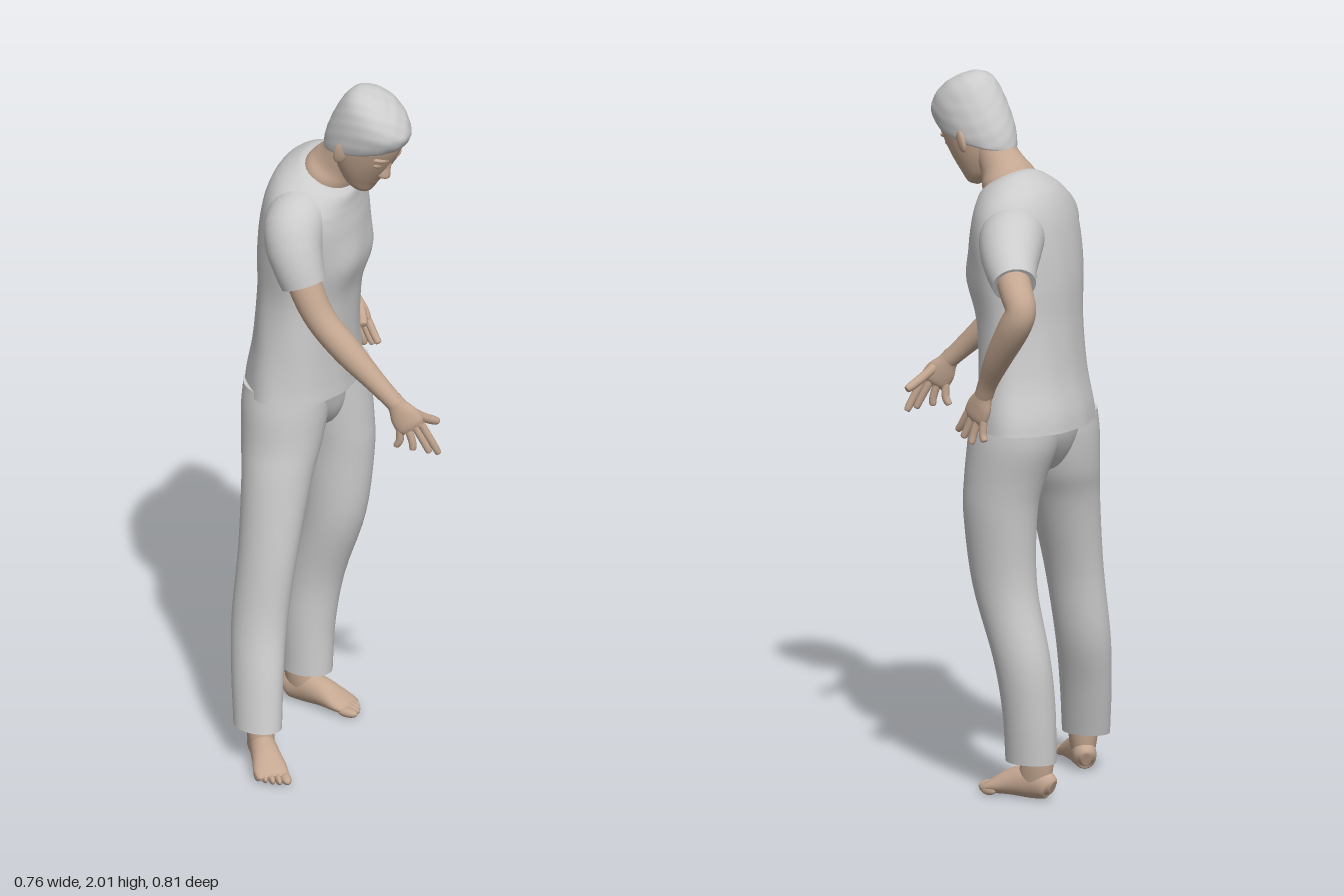
import * as THREE from 'three';

const V = (x, y, z) => new THREE.Vector3(x, y, z);
const cloth = new THREE.MeshStandardMaterial({ color: 0xcccccc });
const skin = new THREE.MeshStandardMaterial({ color: 0xc4a791 });
const lipMat = new THREE.MeshStandardMaterial({ color: 0xb59080 });

// Smooth closed skin through rings [x, y, z, halfWidth, halfDepth, tilt].
// ref is the width axis; flat keeps every ring level; warp moves each vertex.
function loft(name, mat, rings, { ref = V(1, 0, 0), flat = false, seg = 28, sub = 5, warp } = {}) {
  const path = new THREE.CatmullRomCurve3(rings.map(r => V(r[0], r[1], r[2])), false, 'catmullrom', 0.5);
  const size = new THREE.CatmullRomCurve3(
    rings.map(r => V(r[3], r[4] ?? r[3], r[5] ?? 0)), false, 'catmullrom', 0.5);
  const n = (rings.length - 1) * sub, pos = [], idx = [];
  const down = Math.sign(rings[rings.length - 1][1] - rings[0][1]);
  for (let i = 0; i <= n; i++) {
    const c = path.getPoint(i / n), s = size.getPoint(i / n);
    const t = flat ? V(0, down, 0) : path.getTangent(i / n);
    const side = ref.clone().addScaledVector(t, -ref.dot(t)).normalize();
    const up = t.clone().cross(side);
    for (let j = 0; j < seg; j++) {
      const a = j / seg * Math.PI * 2;
      const p = c.clone().addScaledVector(side, s.x * Math.cos(a)).addScaledVector(up, s.y * Math.sin(a));
      p.y -= s.z * (p.z - c.z);
      if (warp) warp(p, i / n);
      pos.push(p.x, p.y, p.z);
    }
  }
  for (let i = 0; i < n; i++) for (let j = 0; j < seg; j++) {
    const k = (j + 1) % seg, a = i * seg + j, b = i * seg + k, c = a + seg, d = b + seg;
    idx.push(a, b, d, a, d, c);
  }
  // End caps use their own ring so the rims stay crisp
  for (const end of [0, n]) {
    const base = pos.length / 3, c = V(0, 0, 0);
    for (let j = 0; j < seg; j++) {
      const q = (end * seg + j) * 3, p = V(pos[q], pos[q + 1], pos[q + 2]);
      pos.push(p.x, p.y, p.z);
      c.addScaledVector(p, 1 / seg);
    }
    pos.push(c.x, c.y, c.z);
    for (let j = 0; j < seg; j++) {
      const a = base + j, b = base + (j + 1) % seg;
      idx.push(base + seg, ...(end ? [a, b] : [b, a]));
    }
  }
  const g = new THREE.BufferGeometry();
  g.setAttribute('position', new THREE.Float32BufferAttribute(pos, 3));
  g.setIndex(idx);
  g.computeVertexNormals();
  const m = new THREE.Mesh(g, mat);
  m.name = name;
  return m;
}

function blob(name, mat, p, s) {
  const m = new THREE.Mesh(new THREE.SphereGeometry(1, 20, 14), mat);
  m.name = name;
  m.position.set(...p);
  m.scale.set(...s);
  return m;
}

// Palm, four fingers (index first) and a thumb; side runs from index to little finger
function hand(name, wrist, knuckle, side, tips, thumbTip) {
  const g = new THREE.Group();
  g.name = name;
  const dir = knuckle.clone().sub(wrist);
  const at = f => wrist.clone().addScaledVector(dir, f);
  g.add(loft('palm', skin, [[-0.25, .025, .022], [.1, .028, .021], [.5, .04, .02], [.9, .042, .017], [1.1, .034, .01]]
    .map(([f, a, b]) => [...at(f).toArray(), a, b]), { ref: side, seg: 16 }));
  const finger = (label, base, tip, r, bulge) => {
    const mid = base.clone().lerp(tip, .5).addScaledVector(dir, bulge);
    const end = tip.clone().lerp(mid, .12);
    g.add(loft(label, skin, [[base, r], [mid, r * .95], [end, r * .8], [tip, r * .15]]
      .map(([p, q]) => [...p.toArray(), q]), { ref: side, seg: 10, sub: 4 }));
  };
  tips.forEach((t, i) => finger('finger', at(.92).addScaledVector(side, (i - 1.5) * .02), t, .0115, .14));
  finger('thumb', at(.3).addScaledVector(side, -.022), thumbTip, .014, .08);
  return g;
}

// Bare foot along local +z from the heel; inner is the sign of the big toe side
function foot(name, x, z, yaw, inner) {
  const g = new THREE.Group();
  g.name = name;
  g.add(loft('footBody', skin, [[0, .034, -.006, .014, .018], [0, .041, .01, .031, .038], [0, .048, .06, .035, .048],
    [0, .04, .12, .041, .039], [0, .026, .17, .048, .025], [0, .018, .2, .045, .015], [0, .016, .21, .036, .008]]));
  g.add(loft('ankle', skin, [[0, .17, .042, .044, .05], [0, .11, .044, .041, .048], [0, .07, .05, .037, .05],
    [0, .04, .055, .032, .05]], { flat: true }));
  for (let i = 0; i < 5; i++) {
    const w = i ? .0095 - i * .0004 : .0145;
    g.add(blob('toe', skin, [inner * (.034 - i * .0175 - (i ? .004 : 0)), .014, .215 - i * i * .0022], [w, .013, .032 - i * .002]));
  }
  g.position.set(x, 0, z);
  g.rotation.y = yaw;
  return g;
}

function head() {
  const g = new THREE.Group();
  g.name = 'head';
  g.add(loft('skull', skin, [[0, .125, -.005, .012, .015], [0, .115, -.005, .048, .065], [0, .085, -.002, .074, .094],
    [0, .04, .002, .084, .107], [0, -.02, .005, .082, .105], [0, -.07, .014, .074, .09], [0, -.11, .027, .06, .071],
    [0, -.142, .046, .041, .047], [0, -.157, .056, .015, .02]], { flat: true, seg: 36 }));
  // Cropped hair, high over the brow and down to the nape
  g.add(loft('hair', cloth, [[0, .139, -.012, .01, .012, 0], [0, .135, -.012, .036, .046, -.02], [0, .122, -.011, .061, .077, -.06],
    [0, .097, -.006, .08, .099, -.14], [0, .055, .001, .0905, .112, -.34], [0, .005, .005, .0915, .112, -.58],
    [0, -.032, .01, .086, .102, -.78], [0, -.04, .012, .078, .092, -.8]], {
    flat: true, seg: 64, sub: 7,
    warp: p => p.multiplyScalar(1 + .007 * Math.sin(p.x * 120 + p.y * 60) * Math.sin(p.z * 105 - p.y * 80)),
  }));
  g.add(loft('nose', skin, [[0, .002, .1, .008, .008], [0, -.03, .107, .009, .01], [0, -.055, .108, .016, .018],
    [0, -.066, .104, .016, .013], [0, -.071, .098, .008, .005]], { flat: true, seg: 16 }));
  g.add(blob('upperLip', lipMat, [0, -.094, .092], [.024, .005, .009]));
  g.add(blob('lowerLip', lipMat, [0, -.104, .088], [.02, .006, .01]));
  for (const s of [-1, 1]) {
    const lid = blob('eyelid', skin, [s * .034, -.02, .094], [.016, .009, .008]);
    const brow = blob('brow', skin, [s * .033, .004, .096], [.026, .008, .01]);
    lid.rotation.y = brow.rotation.y = s * .4;
    const ear = blob('ear', skin, [s * .084, -.042, -.002], [.009, .034, .02]);
    ear.rotation.set(-.15, s * -.35, 0);
    g.add(lid, brow, ear);
  }
  g.position.set(.03, 1.86, .1);
  g.rotation.x = .5;
  return g;
}

export function createModel() {
  const model = new THREE.Group();
  model.name = 'standingFigure';
  const turn = .35, across = V(Math.cos(turn), 0, -Math.sin(turn)), ahead = V(Math.sin(turn), 0, Math.cos(turn));

  // Shirt body, turned toward the model's left, with a soft chest and loose folds
  const bust = [V(.003, 1.45, .075), V(.153, 1.45, .02)];
  model.add(loft('shirtBody', cloth, [
    [.03, 1.718, -.025, .084, .064, .6], [.03, 1.707, -.036, .118, .084, .52], [.03, 1.675, -.064, .17, .112, .35],
    [.03, 1.63, -.08, .2, .13, .17], [.03, 1.56, -.087, .208, .142, .04], [.03, 1.46, -.095, .2, .146],
    [.03, 1.34, -.106, .19, .138], [.03, 1.2, -.117, .203, .138], [.035, 1.1, -.128, .222, .148],
    [.035, 1.05, -.13, .23, .152]], {
    ref: across, flat: true, seg: 56, sub: 6,
    warp: (p, t) => {
      for (const b of bust) p.addScaledVector(ahead, .018 * Math.exp(-p.distanceToSquared(b) / .005));
      const a = Math.atan2(p.x - .03, p.z + .12), f = 1 + .012 * t * Math.sin(a * 9 + p.y * 8);
      p.x = .03 + (p.x - .03) * f;
      p.z = -.12 + (p.z + .12) * f;
    },
  }));

  // Sleeves
  model.add(loft('rightSleeve', cloth, [[.02, 1.605, -.05, .07], [-.06, 1.612, -.045, .08], [-.12, 1.598, -.03, .084],
    [-.147, 1.55, -.01, .08], [-.156, 1.5, .012, .072], [-.156, 1.445, .034, .063]], { ref: V(0, 0, 1) }));
  model.add(loft('leftSleeve', cloth, [[.05, 1.575, -.095, .07], [.115, 1.592, -.135, .085], [.17, 1.592, -.168, .09],
    [.22, 1.57, -.21, .085], [.265, 1.538, -.255, .073], [.298, 1.505, -.298, .061]], { ref: V(0, 1, 0) }));

  // Neck and head
  model.add(loft('neck', skin, [[.03, 1.86, .055, .056, .052], [.03, 1.79, .022, .058, .056, .3], [.03, 1.75, -.005, .064, .058, .55],
    [.03, 1.723, -.022, .081, .062, .6], [.03, 1.69, -.04, .086, .066, .6]], { flat: true }));
  model.add(head());

  // Right arm reaching forward, left arm bent to the hip
  model.add(loft('rightArm', skin, [[-.156, 1.52, .005, .05], [-.156, 1.43, .045, .047], [-.147, 1.35, .09, .043],
    [-.125, 1.27, .165, .041], [-.1, 1.19, .25, .03], [-.08, 1.135, .305, .025]], { ref: V(1, 0, 0) }));
  model.add(hand('rightHand', V(-.08, 1.135, .305), V(-.06, 1.07, .345), V(-.6, -.1, -.79).normalize(),
    [V(-.008, .985, .4), V(-.03, .992, .385), V(-.06, 1, .35), V(-.08, 1.005, .305)], V(.033, 1.058, .362)));
  model.add(loft('leftArm', skin, [[.27, 1.54, -.255, .048], [.318, 1.49, -.325, .046], [.335, 1.445, -.357, .043],
    [.336, 1.39, -.33, .045], [.325, 1.3, -.265, .038], [.308, 1.22, -.21, .028], [.3, 1.175, -.185, .026]], { ref: V(1, 0, .2) }));
  model.add(hand('leftHand', V(.3, 1.18, -.187), V(.302, 1.105, -.153), V(0, -.25, -.97).normalize(),
    [V(.3, 1.06, -.085), V(.31, 1.045, -.115), V(.315, 1.033, -.15), V(.308, 1.045, -.195)], V(.257, 1.125, -.105)));

  // Trousers: seat filling between two loose legs
  model.add(loft('trouserSeat', cloth, [[.035, 1.1, -.125, .2, .13], [.035, 1.03, -.128, .18, .122],
    [.035, .97, -.122, .11, .106], [.035, .925, -.118, .05, .075], [.035, .905, -.115, .02, .03]],
  { ref: across, flat: true, seg: 40 }));
  model.add(loft('rightTrouserLeg', cloth, [[-.05, 1.07, -.118, .128, .118], [-.06, 1, -.116, .128, .12],
    [-.082, .9, -.111, .113, .113], [-.115, .8, -.1, .097, .1], [-.163, .6, -.09, .075, .089], [-.197, .4, -.092, .069, .084],
    [-.232, .25, -.07, .062, .08], [-.26, .105, -.045, .057, .074]], { flat: true, seg: 32 }));
  model.add(loft('leftTrouserLeg', cloth, [[.13, 1.07, -.142, .122, .132], [.134, 1, -.137, .122, .13],
    [.146, .9, -.118, .108, .117], [.152, .8, -.108, .097, .108], [.142, .6, -.115, .083, .096], [.135, .4, -.172, .075, .084],
    [.122, .25, -.188, .07, .078], [.114, .105, -.188, .063, .077]], { flat: true, seg: 32 }));

  // Feet
  model.add(foot('rightFoot', -.225, -.078, -.64, 1));
  model.add(foot('leftFoot', .1, -.25, .18, -1));
  return model;
}
